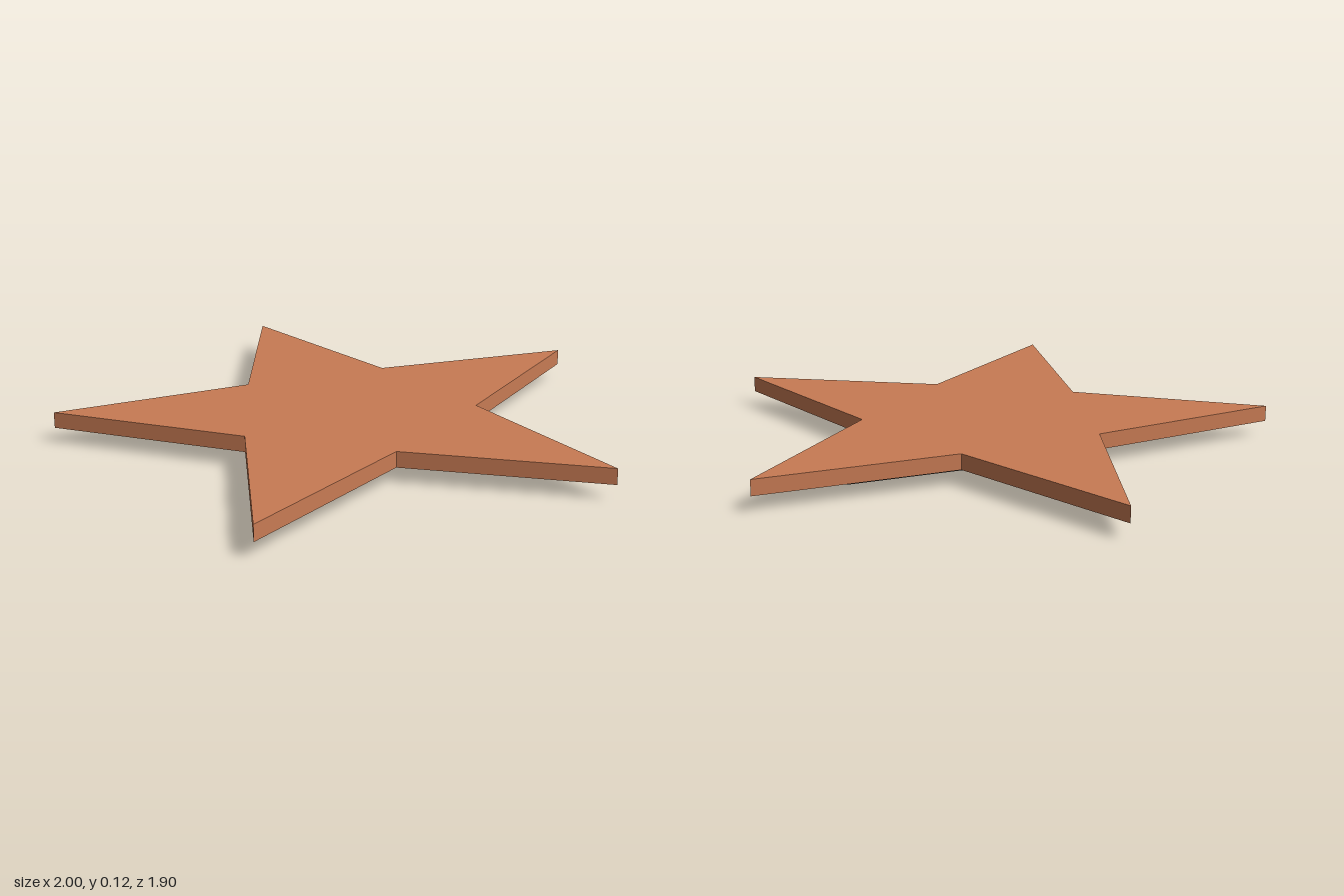
import * as THREE from 'three';

const CENTER_Z = 0.1;          // the star's hub sits a little forward of the origin
const TIP = 1.051, NOTCH = 0.455;
const TOP = 0.115, SEAM = 0.057;

// Five-pointed star of the given scale, one tip pointing to the back (-z)
function starShape(scale) {
  const points = [];
  for (let i = 0; i < 10; i++) {
    const a = (i * Math.PI) / 5;
    const r = scale * (i % 2 ? NOTCH : TIP);
    points.push(new THREE.Vector2(r * Math.sin(a), -r * Math.cos(a)));
  }
  return new THREE.Shape(points);
}

// Star prism from yTop down to yBottom, its lower outline shrunk by taper
function starSlab(scale, yTop, yBottom, taper = 1) {
  const depth = yTop - yBottom;
  const geo = new THREE.ExtrudeGeometry(starShape(scale), { depth, bevelEnabled: false });
  geo.rotateX(Math.PI / 2);
  const p = geo.attributes.position;
  for (let i = 0; i < p.count; i++) {
    const k = p.getY(i) < -depth / 2 ? taper : 1;
    p.setX(i, p.getX(i) * k);
    p.setZ(i, p.getZ(i) * k);
  }
  geo.translate(0, yTop, CENTER_Z);
  geo.computeVertexNormals();
  return geo;
}

export function createModel() {
  const copper = new THREE.MeshStandardMaterial({ color: 0xc87b54 });
  copper.name = 'copper';
  const slate = new THREE.MeshStandardMaterial({ color: 0x2f4858 });
  slate.name = 'slate blue';

  const group = new THREE.Group();
  group.name = 'star';

  // Flat upper plate
  const plate = new THREE.Mesh(starSlab(1, TOP, SEAM), copper);
  plate.name = 'starPlate';

  // Tapered base beneath it
  const base = new THREE.Mesh(starSlab(0.842, SEAM, 0, 0.723), slate);
  base.name = 'taperedBase';

  group.add(plate, base);
  return group;
}
